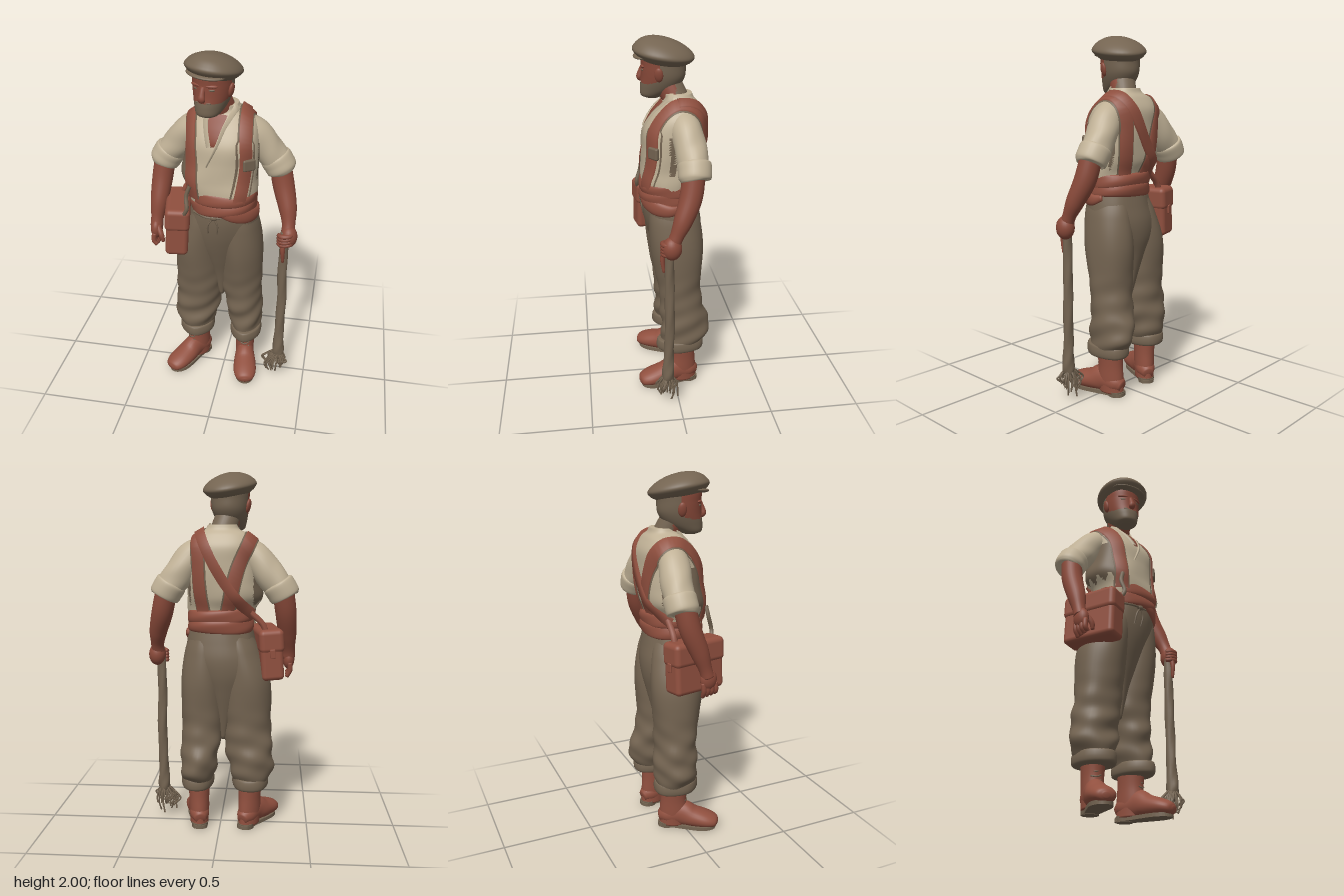
import * as THREE from 'three';
import { RoundedBoxGeometry } from 'three/addons/geometries/RoundedBoxGeometry.js';

const V = (x, y, z) => new THREE.Vector3(x, y, z);
const paint = (name, color) => {
  const m = new THREE.MeshStandardMaterial({ color, side: THREE.DoubleSide });
  m.name = name;
  return m;
};

// Smooth skin through elliptical sections [x, y, z, sideRadius, otherRadius]
function loft(pts, { seg = 28, n = 32, ref = V(0, 0, 1), flat = false, power = 2, fold = () => 0, pick = () => 0 } = {}) {
  const path = new THREE.CatmullRomCurve3(pts.map(p => V(p[0], p[1], p[2])), false, 'catmullrom');
  const radii = new THREE.CatmullRomCurve3(pts.map(p => V(p[3], p[4] ?? p[3], 0)), false, 'catmullrom');
  const pos = [], lists = [[], []];
  const sp = v => Math.sign(v) * Math.abs(v) ** (2 / power);
  for (let i = 0; i <= n; i++) {
    const t = i / n, c = path.getPoint(t), r = radii.getPoint(t);
    const T = flat ? V(0, Math.sign(pts.at(-1)[1] - pts[0][1]), 0) : path.getTangent(t);
    const side = T.clone().cross(ref).normalize(), other = side.clone().cross(T);
    for (let j = 0; j < seg; j++) {
      const a = j / seg * Math.PI * 2, k = 1 + fold(a, t, c.y);
      const p = c.clone().addScaledVector(side, r.x * k * sp(Math.cos(a))).addScaledVector(other, r.y * k * sp(Math.sin(a)));
      pos.push(p.x, p.y, p.z);
    }
  }
  const tri = (a, b, c) => {
    const m = k => (pos[a * 3 + k] + pos[b * 3 + k] + pos[c * 3 + k]) / 3;
    lists[pick(m(0), m(1), m(2))].push(a, b, c);
  };
  const c0 = pos.length / 3, a = path.getPoint(0), b = path.getPoint(1);
  pos.push(a.x, a.y, a.z, b.x, b.y, b.z);
  for (let j = 0; j < seg; j++) {
    const k = (j + 1) % seg;
    for (let i = 0; i < n; i++) {
      const o = i * seg, u = o + seg;
      tri(o + j, u + j, o + k);
      tri(o + k, u + j, u + k);
    }
    tri(c0, j, k);
    tri(c0 + 1, n * seg + k, n * seg + j);
  }
  const g = new THREE.BufferGeometry();
  g.setAttribute('position', new THREE.Float32BufferAttribute(pos, 3));
  g.setIndex([...lists[0], ...lists[1]]);
  lists.forEach((l, i) => l.length && g.addGroup(i * lists[0].length, l.length, i));
  g.computeVertexNormals();
  return g;
}

export function createModel() {
  const root = new THREE.Group();
  const brown = paint('brown cloth', 0x746451), cream = paint('cream shirt', 0xc0b196);
  const leather = paint('red leather', 0x91503f), skin = paint('skin', 0x8a4a3a);
  const add = (name, geo, mat, parent = root) => {
    const m = new THREE.Mesh(geo, mat);
    m.name = name;
    parent.add(m);
    return m;
  };
  const ball = (name, mat, p, s, parent = root) => {
    const m = add(name, new THREE.SphereGeometry(1, 24, 16), mat, parent);
    m.position.set(...p);
    m.scale.set(...s);
    return m;
  };
  const cord = (name, mat, pts, r, parent = root) =>
    add(name, new THREE.TubeGeometry(new THREE.CatmullRomCurve3(pts.map(p => V(...p))), 16, r, 6), mat, parent);

  // Shirt body, brown around the armholes
  const creases = (a, t, y) => 0.016 * Math.sin(a * 5 + y * 22) * Math.max(0, 1 - t * 1.2);
  const underarm = (x, y, z) => {
    if (y < 1.29 + 0.02 * Math.sin(z * 90) || y > 1.52) return 0;
    return x < -0.185 || (x > 0.155 && (z < -0.08 || (z > 0 && z < 0.03))) ? 1 : 0;
  };
  const clothes = [add('shirt', loft([[0, 1.14, 0.015, 0.17, 0.145], [-0.005, 1.25, 0.02, 0.188, 0.15], [-0.025, 1.33, 0, 0.208, 0.163],
    [-0.015, 1.42, -0.01, 0.202, 0.165], [-0.008, 1.52, -0.015, 0.196, 0.163], [-0.012, 1.6, -0.035, 0.19, 0.14],
    [-0.015, 1.66, -0.045, 0.15, 0.1], [-0.012, 1.69, -0.04, 0.095, 0.08], [-0.012, 1.715, -0.035, 0.078, 0.075]],
  { flat: true, power: 2.4, n: 60, seg: 80, fold: creases, pick: underarm }), [cream, brown])];

  // Sleeves with rolled cuffs, and forearms
  const sleeves = {
    right: [[-0.12, 1.585, -0.045, 0.075], [-0.195, 1.54, -0.058, 0.082], [-0.265, 1.455, -0.074, 0.083], [-0.335, 1.37, -0.083, 0.076]],
    left: [[0.095, 1.585, -0.045, 0.075], [0.16, 1.54, -0.058, 0.082], [0.22, 1.455, -0.074, 0.083], [0.283, 1.37, -0.083, 0.078]],
  };
  for (const [s, pts] of Object.entries(sleeves)) {
    clothes.push(add(s + 'Sleeve', loft(pts, { fold: (a, t) => 0.03 * Math.sin(a * 3 + t * 12) * t }), cream));
    const e = pts[3], d = Math.sign(e[0]);
    add(s + 'RolledCuff', loft([[e[0] - d * 0.026, 1.41, -0.083, 0.07], [e[0] - d * 0.021, 1.402, -0.083, 0.086],
      [e[0], 1.37, -0.083, 0.087], [e[0] + d * 0.02, 1.335, -0.08, 0.083], [e[0] + d * 0.024, 1.327, -0.08, 0.06]], { n: 20 }), cream);
  }
  add('rightForearm', loft([[-0.34, 1.4, -0.075, 0.058], [-0.36, 1.25, -0.045, 0.058], [-0.372, 1.12, 0.005, 0.05],
    [-0.38, 1.03, 0.035, 0.036], [-0.382, 0.98, 0.05, 0.036]]), skin);
  add('leftForearm', loft([[0.285, 1.4, -0.08, 0.058], [0.317, 1.25, -0.06, 0.06], [0.35, 1.13, -0.015, 0.05],
    [0.362, 1.05, 0.02, 0.037], [0.362, 0.99, 0.045, 0.04]]), skin);

  // Relaxed right hand, left fist around the staff
  ball('rightPalm', skin, [-0.382, 0.965, 0.055], [0.033, 0.058, 0.047]);
  ball('leftFist', skin, [0.368, 0.985, 0.045], [0.048, 0.064, 0.052]);
  for (let i = 0; i < 4; i++) {
    const z = 0.022 + i * 0.023, y = 0.953 - i * 0.018;
    add('rightFinger', loft([[-0.388, 0.95, z, 0.014], [-0.39, 0.905, z + 0.004, 0.014], [-0.372, 0.867 + i * 0.005, z + 0.006, 0.011]], { seg: 10, n: 10 }), skin);
    add('leftFinger', loft([[0.395, y + 0.06, 0.05, 0.014], [0.375, y + 0.055, 0.085, 0.014], [0.335, y + 0.05, 0.09, 0.014],
      [0.312, y + 0.048, 0.065, 0.011]], { seg: 10, n: 14, ref: V(0, 1, 0) }), skin);
  }
  add('rightThumb', loft([[-0.37, 0.99, 0.07, 0.017], [-0.345, 0.945, 0.095, 0.015], [-0.335, 0.905, 0.095, 0.01]], { seg: 10, n: 10 }), skin);
  add('leftThumb', loft([[0.34, 1.0, 0.07, 0.017], [0.342, 0.92, 0.092, 0.014], [0.345, 0.84, 0.086, 0.008]], { seg: 10, n: 10 }), skin);

  // Trousers: the seat fades between the legs, which sag above rolled hems
  const sag = (a, t, y) => {
    const low = THREE.MathUtils.smoothstep(0.78 - y, 0, 0.35);
    return low * (0.035 * Math.sin(y * 52 + 3 * Math.sin(a + 0.6)) + 0.03 * Math.sin(a * 3 - y * 31)) + 0.014 * Math.sin(a * 5 + y * 9);
  };
  add('trouserSeat', loft([[0, 1.17, 0.015, 0.172, 0.148], [-0.004, 1.08, 0.005, 0.19, 0.156], [-0.015, 0.99, -0.01, 0.205, 0.156],
    [-0.025, 0.9, -0.02, 0.175, 0.142], [-0.025, 0.8, -0.025, 0.11, 0.115], [-0.022, 0.68, -0.03, 0.055, 0.08], [-0.018, 0.52, -0.03, 0.015, 0.04]],
  { flat: true, power: 2.2, n: 48, seg: 48, fold: (a, t) => 0.01 * Math.sin(a * 8 + t * 4) }), brown);
  const legs = {
    right: [[-0.085, 1.13, 0.008, 0.085, 0.125], [-0.115, 1.02, -0.005, 0.108, 0.143], [-0.148, 0.85, -0.02, 0.132, 0.147], [-0.155, 0.6, -0.03, 0.133, 0.12],
      [-0.168, 0.44, -0.04, 0.132, 0.12], [-0.178, 0.35, -0.04, 0.122, 0.122], [-0.172, 0.27, -0.035, 0.09, 0.108]],
    left: [[0.08, 1.13, 0.008, 0.085, 0.125], [0.092, 1.02, -0.005, 0.108, 0.143], [0.1, 0.85, -0.02, 0.122, 0.147], [0.1, 0.6, -0.035, 0.117, 0.118],
      [0.115, 0.44, -0.055, 0.105, 0.135], [0.122, 0.35, -0.062, 0.1, 0.138], [0.13, 0.27, -0.035, 0.08, 0.115]],
  };
  for (const [s, pts] of Object.entries(legs)) {
    add(s + 'TrouserLeg', loft(pts, { flat: true, n: 80, seg: 40, fold: sag }), brown);
    const [x, , z, a, b] = pts[6];
    add(s + 'RolledHem', loft([[x, 0.305, z, a, b], [x, 0.298, z, a + 0.01, b + 0.016], [x, 0.265, z, a + 0.014, b + 0.021],
      [x, 0.24, z, a + 0.006, b + 0.013], [x, 0.232, z, a - 0.02, b - 0.02]], { flat: true, fold: a2 => 0.02 * Math.sin(a2 * 5) }), brown);

    // Laced boot on a thin heeled sole
    const boot = new THREE.Group();
    boot.name = s + 'Boot';
    boot.position.set(s === 'left' ? 0.122 : -0.172, 0, -0.045);
    boot.rotation.y = s === 'left' ? 0.16 : -0.54;
    root.add(boot);
    add('bootShaft', loft([[0, 0.27, 0, 0.066, 0.078], [0, 0.18, -0.004, 0.058, 0.074], [0, 0.1, -0.004, 0.056, 0.08],
      [0, 0.02, -0.01, 0.052, 0.076]], { flat: true }), leather, boot);
    add('bootFoot', loft([[0, 0.06, -0.085, 0.03, 0.03], [0, 0.075, -0.04, 0.054, 0.056], [0, 0.088, 0.04, 0.056, 0.076],
      [0, 0.07, 0.11, 0.066, 0.06], [0, 0.056, 0.19, 0.067, 0.046], [0, 0.045, 0.24, 0.048, 0.032], [0, 0.042, 0.256, 0.015, 0.012]], { ref: V(0, 1, 0) }), leather, boot);
    const sole = new THREE.Shape();
    sole.moveTo(-0.04, 0.06);
    sole.bezierCurveTo(-0.046, 0.105, 0.046, 0.105, 0.04, 0.06);
    sole.bezierCurveTo(0.03, 0, 0.056, -0.08, 0.058, -0.16);
    sole.bezierCurveTo(0.052, -0.27, -0.052, -0.27, -0.058, -0.16);
    sole.bezierCurveTo(-0.056, -0.08, -0.03, 0, -0.04, 0.06);
    const plate = add('bootSole', new THREE.ExtrudeGeometry(sole, { depth: 0.02, bevelEnabled: false, curveSegments: 16 }), brown, boot);
    plate.rotation.x = -Math.PI / 2;
    plate.position.y = 0.003;
    const heel = add('bootHeel', new THREE.CylinderGeometry(0.048, 0.045, 0.03, 20), brown, boot);
    heel.position.set(0, 0.015, -0.042);
    for (let i = 0; i < 3; i++) cord('bootLace', brown, [[-0.026, 0.15 + i * 0.026, 0.065 - i * 0.003],
      [0, 0.145 + i * 0.026, 0.075 - i * 0.003], [0.026, 0.156 + i * 0.026, 0.065 - i * 0.003]], 0.004, boot);
  }

  // Wrapped sash with its drooping end, and the waist cord
  for (const [y, r, tilt] of [[1.17, 0.166, 0.03], [1.225, 0.168, -0.04]]) {
    const roll = add('sash', loft([[0, -0.042, 0.013, r, 0.14], [0, -0.032, 0.013, r + 0.013, 0.16],
      [0, 0, 0.013, r + 0.018, 0.167], [0, 0.03, 0.013, r + 0.013, 0.16], [0, 0.04, 0.013, r, 0.14]],
    { flat: true, power: 2.3, seg: 48, fold: (a, t) => 0.012 * Math.sin(a * 3 + t * 9) }), leather);
    roll.position.y = y;
    roll.rotation.z = tilt;
  }
  add('sashEnd', loft([[-0.02, 1.17, 0.165, 0.012, 0.02], [0.07, 1.145, 0.155, 0.016, 0.038], [0.145, 1.125, 0.105, 0.018, 0.042],
    [0.182, 1.115, 0.03, 0.016, 0.032], [0.178, 1.13, -0.04, 0.01, 0.015]], { ref: V(0, 1, 0) }), leather);
  ball('cordKnot', brown, [-0.03, 1.125, 0.162], [0.022, 0.016, 0.014]);
  for (const x of [-0.06, -0.01]) cord('waistCord', brown, [[-0.03, 1.125, 0.164], [x, 1.08, 0.164], [x - 0.005, 1.02, 0.15]], 0.005);
  cord('waistCord', brown, [[-0.15, 1.13, 0.115], [-0.08, 1.125, 0.158], [-0.03, 1.125, 0.164], [0.02, 1.13, 0.16]], 0.007);

  // Ribbons that hug the shirt
  const ray = new THREE.Raycaster();
  function strap(name, mat, pts, width, lift) {
    const path = new THREE.CatmullRomCurve3(pts.map(p => V(...p))), n = 44, pos = [], idx = [];
    for (let i = 0; i <= n; i++) {
      const t = i / n, c = path.getPoint(t), w = width(t);
      const heart = V(c.x * 0.5, Math.min(c.y, 1.48), -0.01), out = c.clone().sub(heart).normalize();
      const side = path.getTangent(t).cross(out).normalize();
      const hits = [-0.5, 0.5].map(k => {
        const p = c.clone().addScaledVector(side, k * w);
        ray.set(p.clone().addScaledVector(out, 0.4), out.clone().negate());
        return ray.intersectObjects(clothes, false)[0]?.point ?? p;
      });
      for (const [k, h] of [[0, -0.012], [0, lift], [1, lift], [1, -0.012]]) {
        const p = hits[k].clone().addScaledVector(out, h);
        pos.push(p.x, p.y, p.z);
      }
      if (i < n) for (let k = 0; k < 3; k++) {
        const a = i * 4 + k;
        idx.push(a, a + 1, a + 4, a + 1, a + 5, a + 4);
      }
    }
    const g = new THREE.BufferGeometry();
    g.setAttribute('position', new THREE.Float32BufferAttribute(pos, 3));
    g.setIndex(idx);
    g.computeVertexNormals();
    add(name, g, mat);
  }
  const rightPath = [[-0.155, 1.22, 0.15], [-0.165, 1.4, 0.14], [-0.18, 1.58, 0.1], [-0.18, 1.66, -0.03], [-0.145, 1.58, -0.17], [-0.085, 1.42, -0.18], [-0.04, 1.2, -0.14]];
  const leftPath = [[0.105, 1.22, 0.16], [0.145, 1.4, 0.15], [0.13, 1.58, 0.1], [0.115, 1.67, -0.03], [0.12, 1.58, -0.17], [0.115, 1.4, -0.18], [0.09, 1.2, -0.14]];
  for (const [s, p] of [['right', rightPath], ['left', leftPath]]) {
    strap(s + 'Suspender', leather, p, () => 0.068, 0.012);
    strap(s + 'SuspenderLining', brown, p, t => (t < 0.3 && s === 'left' ? 0.11 : 0.084), 0.004);
  }
  strap('bagStrap', leather, [[0.11, 1.67, -0.02], [0.075, 1.6, -0.15], [0, 1.46, -0.2], [-0.1, 1.32, -0.17], [-0.18, 1.23, -0.07]], () => 0.055, 0.017);
  strap('openNeck', skin, [[-0.028, 1.7, 0.05], [-0.036, 1.62, 0.1], [-0.04, 1.53, 0.15]], t => 0.085 * (1 - t) ** 0.6 + 0.014, 0.004);
  strap('collarRight', cream, [[-0.09, 1.7, 0], [-0.088, 1.64, 0.09], [-0.058, 1.53, 0.15]], () => 0.022, 0.01);
  strap('collarLeft', cream, [[0.07, 1.7, 0], [0.022, 1.64, 0.09], [-0.018, 1.53, 0.15], [-0.07, 1.42, 0.16]], t => 0.026 - 0.02 * t, 0.008);
  const buckle = add('suspenderBuckle', new RoundedBoxGeometry(0.07, 0.065, 0.026, 2, 0.01), brown);
  buckle.position.set(0.148, 1.43, 0.112);
  buckle.rotation.y = 0.6;

  // Long satchel along the right hip, with flap, clasp and strap ends
  const bag = new THREE.Group();
  bag.name = 'satchel';
  bag.position.set(-0.262, 1.005, 0.03);
  bag.rotation.set(0, 0.2, -0.06);
  root.add(bag);
  add('satchelBody', new RoundedBoxGeometry(0.125, 0.265, 0.31, 4, 0.025), leather, bag);
  add('satchelFlap', new RoundedBoxGeometry(0.138, 0.13, 0.322, 4, 0.028), leather, bag).position.set(-0.002, 0.085, 0);
  add('satchelClasp', new RoundedBoxGeometry(0.03, 0.05, 0.012, 2, 0.005), leather, bag).position.set(0, 0.02, -0.16);
  cord('satchelCord', brown, [[-0.2, 1.12, 0.165], [-0.175, 1.17, 0.175], [-0.18, 1.24, 0.155], [-0.16, 1.3, 0.148]], 0.012);
  cord('satchelHanger', leather, [[-0.26, 1.12, -0.08], [-0.235, 1.18, -0.08], [-0.17, 1.245, -0.08]], 0.018);

  // Neck and head, turned a little to the right
  add('neck', loft([[0, 1.6, -0.04, 0.075], [-0.015, 1.68, -0.025, 0.07], [-0.045, 1.77, 0.02, 0.072]], { pick: (x, y, z) => (z < -0.02 ? 1 : 0) }), [skin, brown]);
  const head = new THREE.Group();
  head.name = 'head';
  head.position.set(-0.05, 1.68, 0.035);
  head.rotation.y = -0.3;
  root.add(head);
  const hairy = (x, y, z) => (y < 0.083 + Math.max(0, 0.06 - z) * 0.3 && z > -0.04) || (z < 0 && y > 0.04) ? 1 : 0;
  add('headAndBeard', loft([[0, 0, 0.06, 0.035, 0.035], [0, 0.015, 0.058, 0.06, 0.064], [0, 0.055, 0.025, 0.08, 0.1],
    [0, 0.11, 0.003, 0.096, 0.116], [0, 0.17, 0, 0.102, 0.118], [0, 0.23, 0, 0.1, 0.118], [0, 0.27, 0, 0.07, 0.085]],
  { flat: true, n: 60, seg: 64, power: 2.1, pick: hairy }), [skin, brown], head);
  add('nose', loft([[0, 0.165, 0.11, 0.012, 0.012], [0, 0.13, 0.122, 0.016, 0.016], [0, 0.105, 0.128, 0.02, 0.017], [0, 0.092, 0.115, 0.014, 0.012]], { seg: 14, n: 14 }), skin, head);
  ball('moustache', brown, [0, 0.083, 0.109], [0.045, 0.01, 0.012], head);
  for (const s of [-1, 1]) {
    ball('ear', skin, [s * 0.103, 0.135, 0.005], [0.013, 0.038, 0.023], head).rotation.z = -s * 0.2;
    ball('brow', skin, [s * 0.042, 0.17, 0.102], [0.034, 0.009, 0.012], head).rotation.y = s * 0.3;
    ball('eye', brown, [s * 0.042, 0.151, 0.104], [0.02, 0.007, 0.006], head).rotation.y = s * 0.35;
  }

  // Flat cap
  const cap = new THREE.Group();
  cap.name = 'flatCap';
  cap.position.set(0.005, 0.233, -0.005);
  cap.rotation.set(-0.16, 0, -0.08);
  head.add(cap);
  add('capCrown', loft([[0, -0.04, 0, 0.105, 0.12], [0, -0.022, 0.003, 0.128, 0.148], [0, 0.002, 0.006, 0.146, 0.165], [0, 0.027, 0.01, 0.134, 0.15],
    [0, 0.053, 0.02, 0.1, 0.115], [0, 0.072, 0.028, 0.052, 0.065], [0, 0.079, 0.03, 0.008, 0.01]],
  { flat: true, n: 44, seg: 40, fold: a => 0.014 * Math.sin(a * 3) }), brown, cap);
  ball('capVisor', brown, [0, -0.022, 0.085], [0.108, 0.016, 0.076], cap).rotation.x = 0.22;

  // Staff with a ragged root end
  add('staff', loft([[0.35, 1.02, 0.055, 0.024], [0.343, 0.8, 0.056, 0.026], [0.347, 0.55, 0.054, 0.027], [0.342, 0.32, 0.06, 0.028], [0.342, 0.19, 0.064, 0.034], [0.335, 0.13, 0.064, 0.02]],
    { seg: 14, n: 40, fold: (a, t) => 0.06 * Math.sin(a * 3 + t * 30) }), brown);
  let seed = 7;
  const rnd = () => (seed = seed * 16807 % 2147483647) / 2147483647;
  for (let i = 0; i < 34; i++) {
    const a = i * 2.4, r = 0.03 + 0.045 * rnd(), c = Math.cos(a), s = Math.sin(a) * 0.85, y = 0.025 + 0.09 * rnd();
    cord('root', brown, [[0.34 + c * 0.015, 0.19, 0.064 + s * 0.015], [0.333 + c * r * 0.8, 0.15, 0.066 + s * r * 0.8],
      [0.325 + c * r * (1 + 0.25 * rnd()), (y + 0.15) / 2, 0.068 + s * r], [0.325 + c * r * (0.5 + rnd() * 0.6), y, 0.068 + s * r * (0.5 + rnd() * 0.6)]], 0.0048);
  }
  return root;
}
